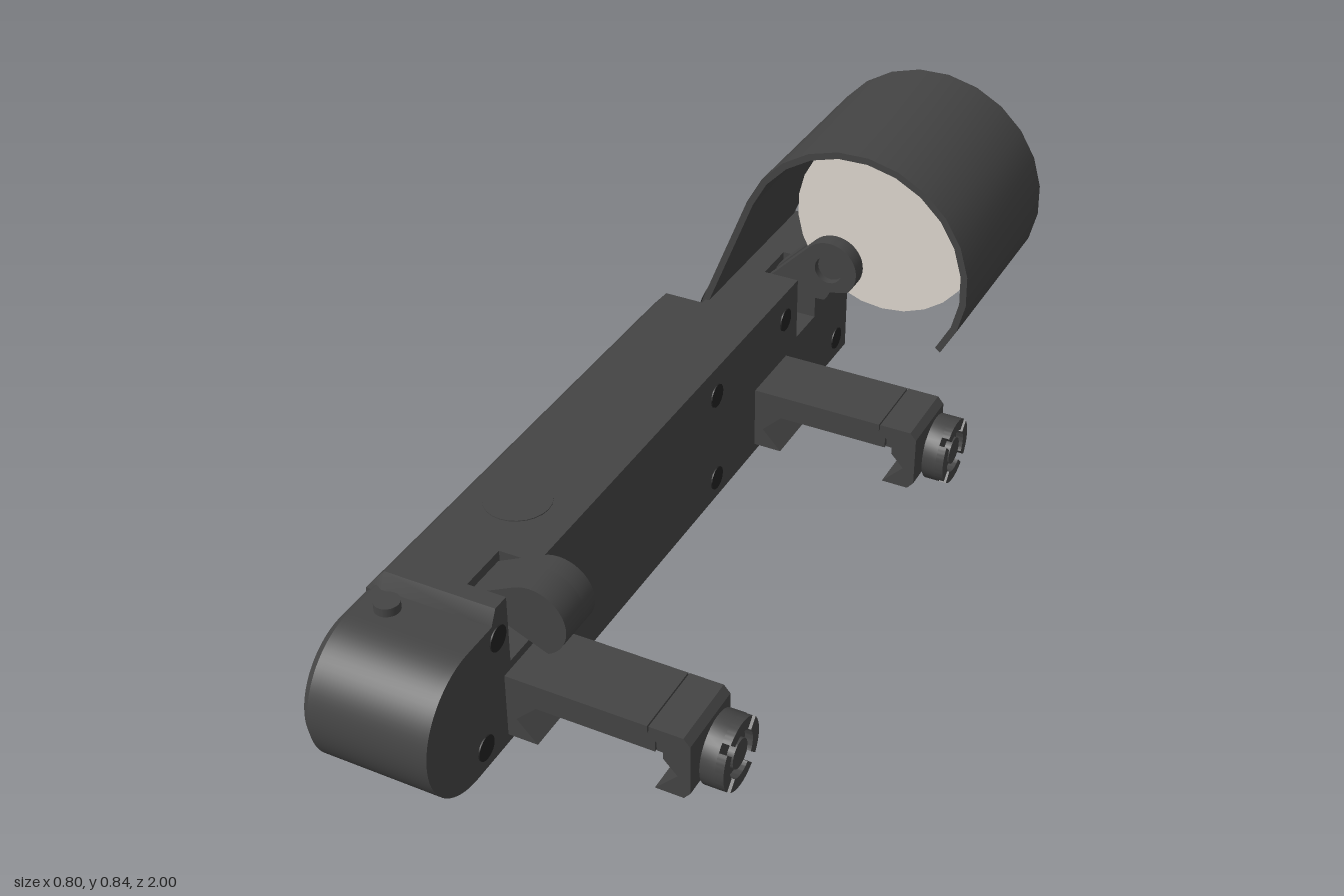
import * as THREE from 'three';
import { toCreasedNormals } from 'three/addons/utils/BufferGeometryUtils.js';

const mat = (color) => new THREE.MeshStandardMaterial({ color });
const DARK = mat(0x444444), BLACK = mat(0x222222), GLASS = mat(0xddd6cd);

export function createModel() {
  const root = new THREE.Group();

  const add = (name, geo, material = DARK, parent = root) => {
    const mesh = new THREE.Mesh(toCreasedNormals(geo, 0.5), material);
    mesh.name = name;
    parent.add(mesh);
    return mesh;
  };
  const poly = (pts) => new THREE.Shape(pts.map(([x, y]) => new THREE.Vector2(x, y)));
  // outline in x/y, running from z0 to z1
  const slab = (shape, z0, z1, curveSegments = 10) =>
    new THREE.ExtrudeGeometry(shape, { depth: z1 - z0, bevelEnabled: false, curveSegments }).translate(0, 0, z0);
  // cylinder centred on p, along direction d
  const rod = (name, p, d, r, h, material = DARK, parent = root, sides = 24) => {
    const mesh = add(name, new THREE.CylinderGeometry(r, r, h, sides), material, parent);
    mesh.position.set(...p);
    mesh.quaternion.setFromUnitVectors(new THREE.Vector3(0, 1, 0), new THREE.Vector3(...d).normalize());
    return mesh;
  };
  const box = (name, w, h, d, p, material = DARK, parent = root) => {
    const mesh = add(name, new THREE.BoxGeometry(w, h, d), material, parent);
    mesh.position.set(...p);
    return mesh;
  };

  // ---- Long body: sections along z, notched where the arms sit
  const base = [[-0.1, 0.365], [-0.36, 0.365], [-0.395, 0.325], [-0.395, 0.015], [-0.38, 0], [-0.1, 0]];
  const slope = [[-0.1, 0.365], [-0.262, 0.365], [-0.39, 0.04], [-0.39, 0.012], [-0.38, 0], [-0.1, 0]];
  const notch = (pts) => [[-0.1, 0.2], [-0.19, 0.2], [-0.19, 0.365], ...pts.slice(1)];
  [
    [base, 0.69, 0.73], [notch(base), 0.57, 0.69], [base, -0.48, 0.57],
    [slope, -0.68, -0.48], [notch(slope), -0.79, -0.68], [slope, -1, -0.79],
  ].forEach(([pts, z0, z1]) => add('body', slab(poly(pts), z0, z1)));

  // slanted step down to the front cap
  const step = slab(poly(base), 0.73, 0.75);
  const sp = step.attributes.position;
  for (let i = 0; i < sp.count; i++) {
    if (sp.getZ(i) > 0.74) sp.setY(i, Math.min(sp.getY(i), 0.325));
  }
  add('bodyStep', step);

  // rounded front cap with its outer edge chamfered
  const capShape = new THREE.Shape();
  capShape.moveTo(0.72, 0);
  capShape.lineTo(0.835, 0);
  capShape.absarc(0.835, 0.165, 0.165, -Math.PI / 2, Math.PI / 2, false);
  capShape.lineTo(0.72, 0.33);
  const cap = new THREE.ExtrudeGeometry(capShape, { depth: 0.295, steps: 16, bevelEnabled: false, curveSegments: 20 });
  cap.rotateY(-Math.PI / 2).translate(-0.1, 0, 0);
  const cp = cap.attributes.position;
  for (let i = 0; i < cp.count; i++) {
    if (cp.getX(i) > -0.394) continue;
    cp.setY(i, 0.165 + (cp.getY(i) - 0.165) * 0.91);
    if (cp.getZ(i) > 0.835) cp.setZ(i, 0.835 + (cp.getZ(i) - 0.835) * 0.91);
  }
  add('frontCap', cap);

  // ---- Buttons, ports and screws on the body
  rod('topButton', [-0.245, 0.36, 0.405], [0, 1, 0], 0.075, 0.014);
  rod('frontButton', [-0.315, 0.335, 0.79], [0, 1, 0], 0.028, 0.03);
  rod('sidePort', [-0.39, 0.165, 0.565], [1, 0, 0], 0.066, 0.02, BLACK);
  box('sidePortSlot', 0.004, 0.1, 0.014, [-0.4, 0.165, 0.565]);

  const wheel = new THREE.Group();
  wheel.name = 'spokedCover';
  wheel.position.set(-0.394, 0.165, 0.835);
  root.add(wheel);
  rod('coverFace', [0, 0, 0], [1, 0, 0], 0.12, 0.006, BLACK, wheel);
  const rim = add('coverRim', new THREE.TorusGeometry(0.122, 0.007, 6, 32), DARK, wheel);
  rim.rotation.y = Math.PI / 2;
  for (let i = 0; i < 3; i++) {
    box('coverSpoke', 0.01, 0.24, 0.014, [0, 0, 0], DARK, wheel).rotation.x = (i * Math.PI) / 3;
  }

  rod('rearCap', [-0.217, 0.11, -0.995], [0, 0, 1], 0.085, 0.014, BLACK);
  box('rearCapSlot', 0.15, 0.016, 0.004, [-0.217, 0.11, -1.002]).rotation.z = 0.8;
  rod('rearScrew', [-0.345, 0.04, -0.997], [0, 0, 1], 0.026, 0.01);

  [[0.73, 0.29], [0.8, 0.055], [-0.235, 0.29], [-0.235, 0.055], [-0.61, 0.29], [-0.935, 0.055]].forEach(([z, y]) =>
    rod('sideScrew', [-0.1, y, z], [1, 0, 0], 0.029, 0.006, BLACK, root, 16));

  // ---- Curved hood: straight strap running tangent into an arc
  const arc = (r, from, to, n) => Array.from({ length: n + 1 }, (_, i) => {
    const a = THREE.MathUtils.degToRad(from + ((to - from) * i) / n);
    return [0.113 + r * Math.cos(a), 0.555 + r * Math.sin(a)];
  });
  const outer = arc(0.286, 158.5, -36, 13), inner = arc(0.27, 158.5, -36, 13);
  const down = ([x, y]) => [x - 0.61 * 0.366, y - 0.61 * 0.931];
  const hood = poly([down(outer[0]), ...outer, ...inner.reverse(), down(inner[inner.length - 1])]);
  add('hood', slab(hood, -0.985, -0.497));
  [[-0.92, 0.345], [-0.58, 0.345], [-0.745, 0.16]].forEach(([z, y]) => {
    const x = -0.153 - (0.659 - y) * 0.393;
    rod('hoodScrew', [x, y, z], [-0.931, 0.366, 0], 0.052, 0.02, BLACK);
    rod('hoodScrewSocket', [x - 0.009, y + 0.004, z], [-0.931, 0.366, 0], 0.024, 0.006, DARK, root, 6);
  });

  // ---- Arms: round-ended bars, optionally bored at the tip
  const bar = (x0, y0, x1, y1, r, bore = 0) => {
    const a = Math.atan2(y1 - y0, x1 - x0), q = Math.PI / 2;
    const s = new THREE.Shape();
    s.moveTo(x0 + r * Math.cos(a - q), y0 + r * Math.sin(a - q));
    s.absarc(x1, y1, r, a - q, a + q, false);
    s.lineTo(x0 + r * Math.cos(a + q), y0 + r * Math.sin(a + q));
    if (bore) s.holes.push(new THREE.Path().absarc(x1, y1, bore, 0, Math.PI * 2, true));
    return s;
  };
  const rear = [-0.18, 0.25, -0.02, 0.415, 0.073];
  add('rearArmCheek', slab(bar(...rear, 0.036), -0.722, -0.68));
  add('rearArmCheek', slab(bar(...rear), -0.79, -0.748));
  add('rearArmBridge', slab(bar(-0.18, 0.25, -0.09, 0.343, 0.06), -0.748, -0.722));
  rod('rearArmPin', [-0.02, 0.415, -0.71], [0, 0, 1], 0.035, 0.025);
  rod('screenDisc', [0.108, 0.55, -0.735], [0, 0, 1], 0.233, 0.02, GLASS, root, 26);

  const front = [-0.165, 0.265, -0.045, 0.325, 0.08];
  add('frontArm', slab(bar(...front), 0.62, 0.69));
  add('frontArm', slab(bar(...front, 0.045), 0.575, 0.62));
  rod('emitter', [-0.045, 0.325, 0.61], [0, 0, 1], 0.045, 0.03, BLACK);

  // ---- Two rail clamps with thumb nuts
  const fixedJaw = poly([[-0.11, 0.022], [-0.03, 0.022], [-0.078, 0.073], [-0.03, 0.12], [0.242, 0.12],
    [0.242, 0.148], [0.225, 0.163], [0.225, 0.18], [-0.11, 0.18]]);
  const movingJaw = poly([[0.24, 0.022], [0.305, 0.022], [0.32, 0.04], [0.32, 0.163], [0.305, 0.18], [0.228, 0.18],
    [0.228, 0.16], [0.246, 0.145], [0.246, 0.125], [0.26, 0.125], [0.26, 0.108], [0.291, 0.075]]);
  const nutSegment = new THREE.Shape();
  nutSegment.absarc(0, 0, 0.08, 0.13, Math.PI / 2 - 0.13, false);
  nutSegment.absarc(0, 0, 0.052, Math.PI / 2 - 0.2, 0.2, true);

  [0.628, -0.532].forEach((z) => {
    const clamp = new THREE.Group();
    clamp.name = 'railClamp';
    clamp.position.z = z;
    root.add(clamp);
    add('fixedJaw', slab(fixedJaw, -0.088, 0.088), DARK, clamp);
    add('movingJaw', slab(movingJaw, -0.088, 0.088), DARK, clamp);
    rod('clampRod', [0.12, 0.103, 0], [1, 0, 0], 0.018, 0.4, DARK, clamp, 16);
    rod('nutCollar', [0.328, 0.101, 0], [1, 0, 0], 0.029, 0.02, DARK, clamp);
    rod('nutBase', [0.3525, 0.101, 0], [1, 0, 0], 0.08, 0.035, DARK, clamp, 32);
    rod('nutBoss', [0.375, 0.101, 0], [1, 0, 0], 0.033, 0.02, DARK, clamp);
    const crown = new THREE.Group();
    crown.name = 'nutCrown';
    crown.position.set(0.369, 0.101, 0);
    crown.rotation.y = Math.PI / 2;
    clamp.add(crown);
    for (let i = 0; i < 4; i++) {
      add('nutTooth', slab(nutSegment, 0, 0.019), DARK, crown).rotation.z = (i * Math.PI) / 2 + Math.PI / 4;
    }
  });

  return root;
}
